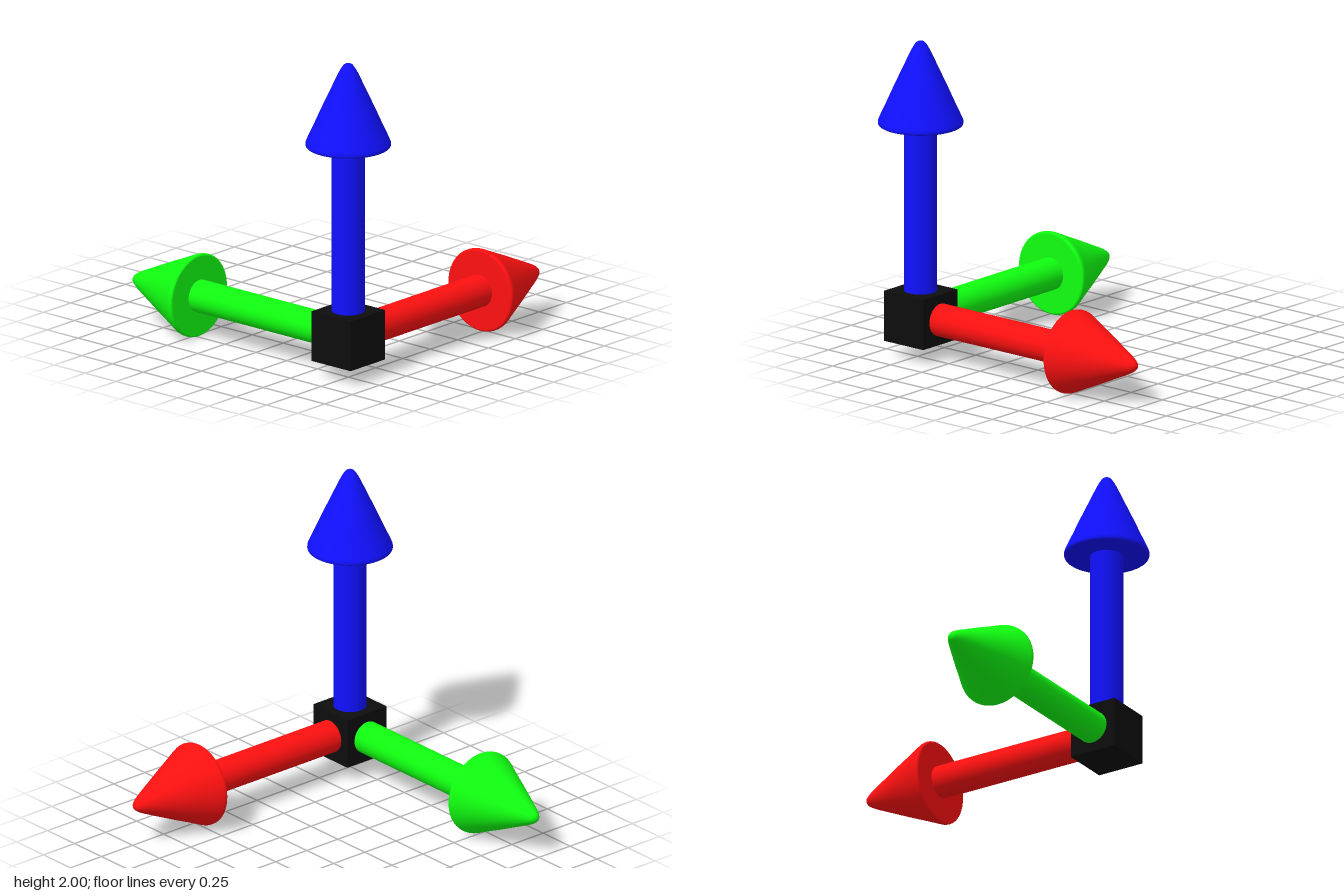
import * as THREE from 'three';

const CUBE = 0.316, SHAFT_R = 0.101, HEAD_BASE = 1.205, TIP = 1.737, HEAD_R = 0.26;

// One arrow pointing along +y from the hub centre
function makeArrow(name, color) {
  const material = new THREE.MeshStandardMaterial({ color });
  const arrow = new THREE.Group();
  arrow.name = name;

  const shaft = new THREE.Mesh(new THREE.CylinderGeometry(SHAFT_R, SHAFT_R, HEAD_BASE, 48, 1, true), material);
  shaft.position.y = HEAD_BASE / 2;
  shaft.name = name + 'Shaft';

  // Slightly bulging cone with a rounded rim and blunted tip
  const profile = new THREE.SplineCurve([
    [0.25, HEAD_BASE], [0.258, HEAD_BASE + 0.006], [HEAD_R, HEAD_BASE + 0.018], [0.254, HEAD_BASE + 0.04],
    [0.212, 1.337], [0.168, 1.437], [0.122, 1.537], [0.076, 1.637],
    [0.05, 1.69], [0.025, 1.726], [0, TIP],
  ].map(([r, y]) => new THREE.Vector2(r, y))).getPoints(50);
  profile.forEach((p) => { p.x = Math.max(p.x, 0); });
  const head = new THREE.Mesh(new THREE.LatheGeometry(profile, 64), material);
  head.name = name + 'Head';

  // Flat underside of the head
  const base = new THREE.Mesh(new THREE.CircleGeometry(0.25, 64), material);
  base.rotation.x = Math.PI / 2;
  base.position.y = HEAD_BASE;
  base.name = name + 'HeadBase';

  arrow.add(shaft, head, base);
  return arrow;
}

export function createModel() {
  const model = new THREE.Group();
  model.name = 'axisArrows';

  // Hub cube where the three arrows meet
  const hub = new THREE.Mesh(
    new THREE.BoxGeometry(CUBE, CUBE, CUBE),
    new THREE.MeshStandardMaterial({ color: 0x0d0d0d })
  );
  hub.name = 'hubCube';

  const up = makeArrow('upArrow', 0x1010ff);
  const side = makeArrow('sideArrow', 0x10ff10);
  side.rotation.z = Math.PI / 2;
  const back = makeArrow('backArrow', 0xff1010);
  back.rotation.x = -Math.PI / 2;

  const axes = new THREE.Group();
  axes.name = 'axes';
  axes.add(hub, up, side, back);
  axes.position.set(0.737, 0.263, 0.737);
  model.add(axes);
  return model;
}
